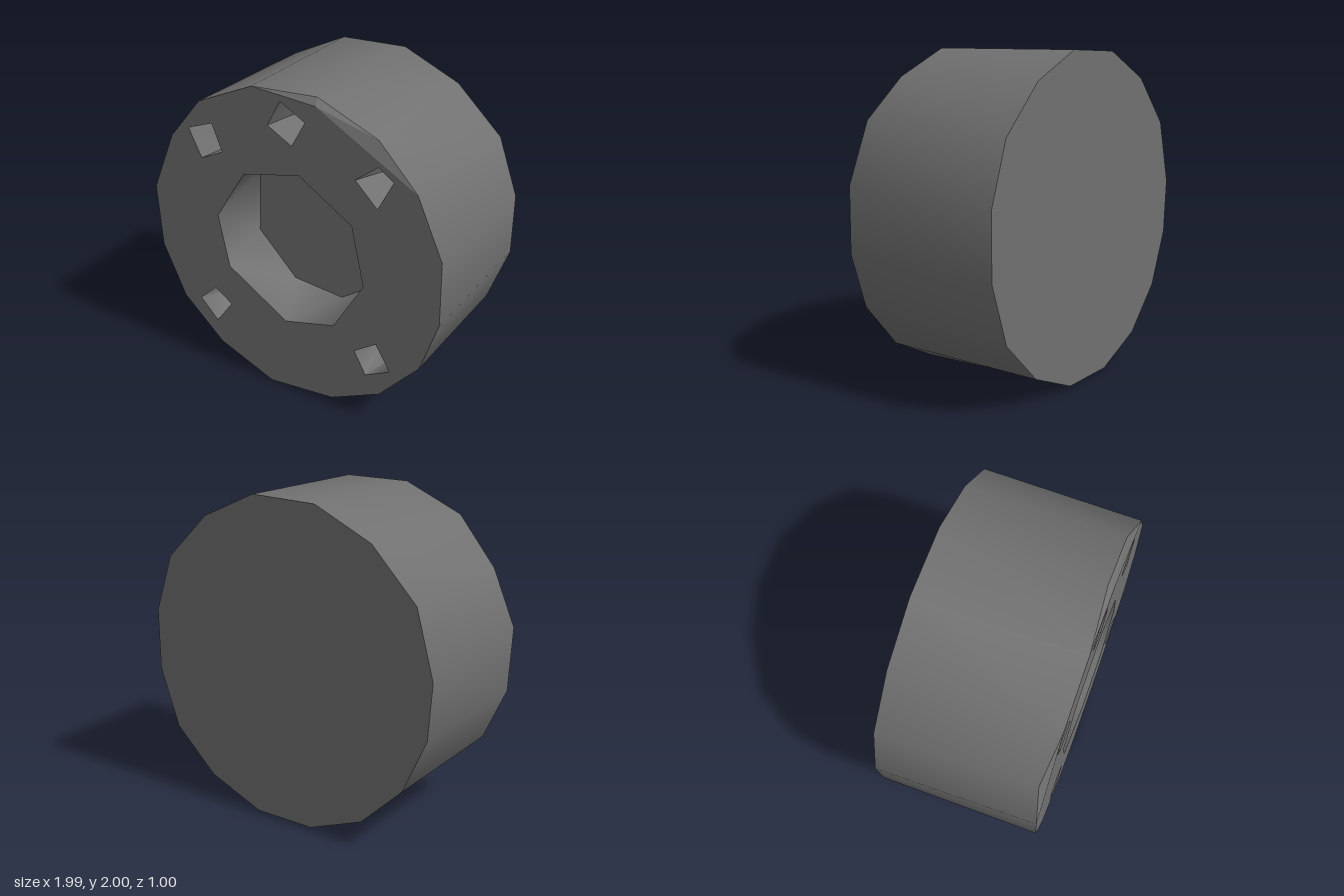
import * as THREE from 'three';
import { toCreasedNormals } from 'three/addons/utils/BufferGeometryUtils.js';

const material = new THREE.MeshStandardMaterial({ color: 0x707070 });
const FRONT = 0.5, BACK = -0.5, FLOOR = 0.12;
const v2 = (list) => list.map(([x, y]) => new THREE.Vector2(x, y));
const atZ = (list, z) => list.map(([x, y]) => [x, y, z]);

// Regular polygon around (cx, cy), counter-clockwise from a start angle in degrees
function ring(cx, cy, radius, sides, start) {
  return Array.from({ length: sides }, (_, i) => {
    const a = THREE.MathUtils.degToRad(start + (i * 360) / sides);
    return [cx + radius * Math.cos(a), cy + radius * Math.sin(a)];
  });
}

// Geometry from a list of triangle corners, smoothed below the crease angle
function triangles(points, crease) {
  const geo = new THREE.BufferGeometry();
  geo.setAttribute('position', new THREE.Float32BufferAttribute(points.flat(), 3));
  return toCreasedNormals(geo, crease);
}

// Wall between two loops: outward when a is in front of b, inward when behind
function loft(a, b, crease) {
  const pts = [];
  a.forEach((p, i) => {
    const j = (i + 1) % a.length;
    pts.push(p, b[i], a[j], a[j], b[i], b[j]);
  });
  return triangles(pts, crease);
}

// Flat polygon facing +z
function flat(outline, z, holes = []) {
  const shape = new THREE.Shape(v2(outline));
  holes.forEach((h) => shape.holes.push(new THREE.Path(v2(h))));
  return new THREE.ShapeGeometry(shape).translate(0, 0, z);
}

export function createModel() {
  const group = new THREE.Group();
  const add = (name, geometry, parent = group) => {
    const mesh = new THREE.Mesh(geometry, material);
    mesh.name = name;
    parent.add(mesh);
  };

  // Outer front edge, counter-clockwise; three corners are set back
  const edge = [
    [0.19, 2.0, 0.465], [-0.22, 1.99, FRONT], [-0.6, 1.82, FRONT], [-0.86, 1.53, 0.46],
    [-0.99, 1.17, FRONT], [-0.97, 0.76, FRONT], [-0.82, 0.42, FRONT], [-0.54, 0.16, FRONT],
    [-0.15, 0, FRONT], [0.3, 0.05, FRONT], [0.63, 0.215, FRONT], [0.885, 0.505, FRONT],
    [0.995, 0.84, FRONT], [0.99, 1.24, FRONT], [0.83, 1.6, FRONT], [0.57, 1.84, 0.465],
  ];
  // Outer back edge, in step with the front one
  const backEdge = [
    [0.2, 2.0], [-0.23, 1.985], [-0.6, 1.81], [-0.885, 1.51],
    [-0.995, 1.11], [-0.97, 0.77], [-0.82, 0.43], [-0.55, 0.165],
    [-0.19, 0.02], [0.21, 0.02], [0.575, 0.17], [0.86, 0.44],
    [0.99, 0.81], [0.99, 1.2], [0.86, 1.56], [0.565, 1.84],
  ];
  const corner = [0.2, 1.96, FRONT];

  // Body
  add('tread', loft(edge, atZ(backEdge, BACK), 0.8));
  const mirroredBack = backEdge.map(([x, y]) => [-x, y]).reverse();
  add('backFace', flat(mirroredBack, -BACK).rotateY(Math.PI));
  add('edgeChamfers', triangles([
    edge[1], corner, edge[0], corner, edge[15], edge[0],
    corner, edge[14], edge[15], edge[2], edge[3], edge[4],
  ], 0.1));

  // Recess: a wall from the rim to a twisted floor
  const addRecess = (name, rim, floor) => {
    const recess = new THREE.Group();
    recess.name = name;
    add(name + 'Wall', loft(atZ(floor, FLOOR), atZ(rim, FRONT), 0.9), recess);
    add(name + 'Floor', flat(floor, FLOOR), recess);
    group.add(recess);
  };

  // Eight-sided central recess
  const centreRim = [
    [0.085, 1.52], [-0.3, 1.43], [-0.51, 1.1], [-0.44, 0.76],
    [-0.03, 0.5], [0.31, 0.59], [0.51, 0.93], [0.43, 1.3],
  ];
  const centreFloor = [
    [0.26, 1.45], [-0.14, 1.51], [-0.46, 1.24], [-0.48, 0.83],
    [-0.21, 0.55], [0.14, 0.52], [0.47, 0.75], [0.49, 1.16],
  ];
  addRecess('centreRecess', centreRim, centreFloor);

  // Five four-sided bolt holes: rim corners, floor centre and floor turn in degrees
  const bolts = [
    { rim: [[-0.03, 1.94], [-0.12, 1.78], [0.04, 1.69], [0.13, 1.85]], centre: [-0.01, 1.79], turn: 26 },
    { rim: [[0.59, 1.7], [0.45, 1.59], [0.59, 1.45], [0.685, 1.635]], centre: [0.575, 1.585], turn: 37 },
    { rim: [[-0.515, 1.7], [-0.69, 1.635], [-0.605, 1.46], [-0.45, 1.535]], centre: [-0.555, 1.53], turn: 64 },
    { rim: [[-0.565, 0.56], [-0.69, 0.445], [-0.565, 0.315], [-0.445, 0.48]], centre: [-0.57, 0.43], turn: 43 },
    { rim: [[0.6, 0.565], [0.455, 0.465], [0.535, 0.32], [0.695, 0.405]], centre: [0.575, 0.44], turn: 32 },
  ];
  bolts.forEach(({ rim, centre, turn }) => addRecess('boltHole', rim, ring(...centre, 0.125, 4, turn)));

  // Front face with all openings
  const faceOutline = edge.filter((p) => p[2] === FRONT).concat([corner]);
  add('frontFace', flat(faceOutline, FRONT, [centreRim, ...bolts.map((b) => b.rim)]));

  return group;
}
